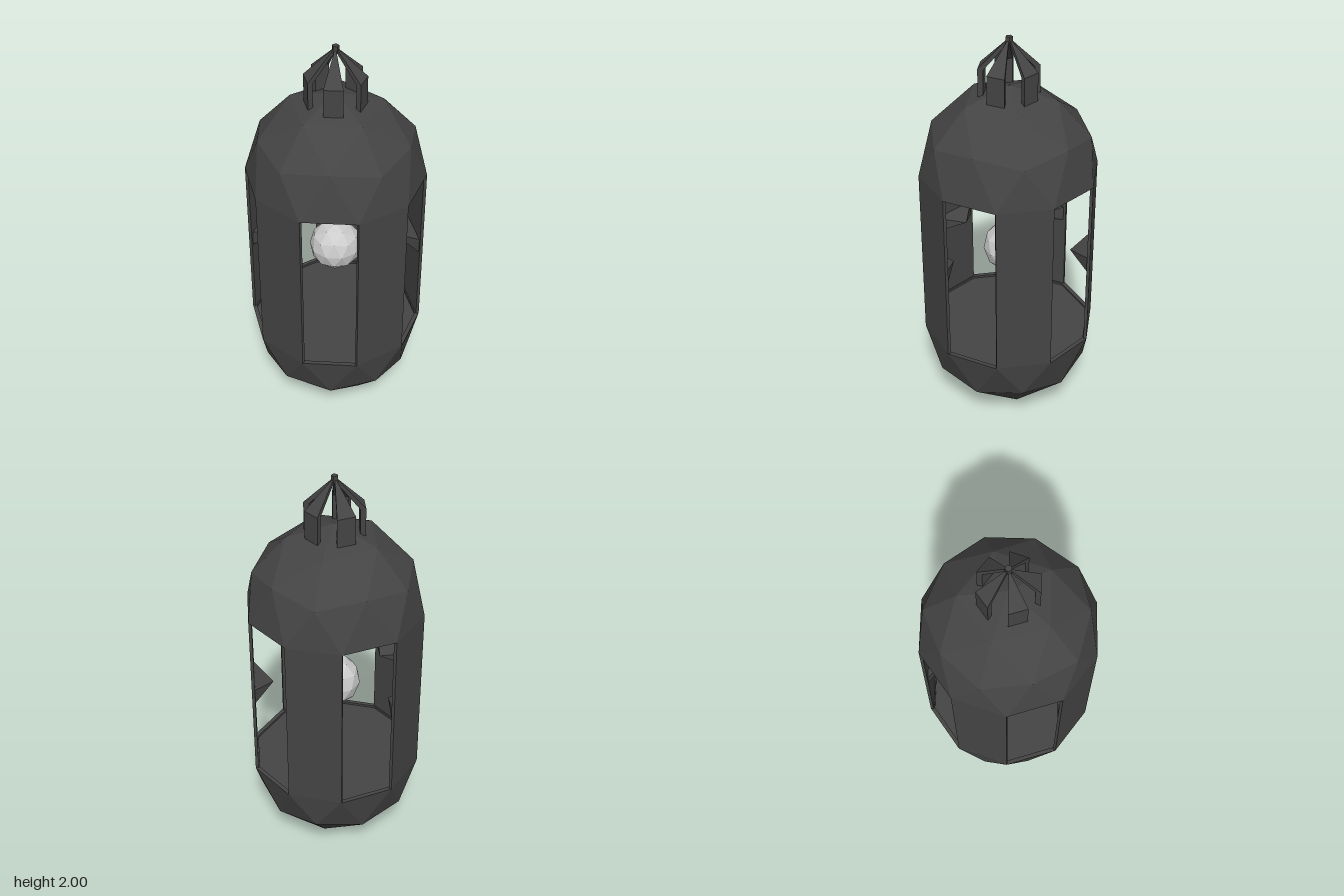
import * as THREE from 'three';

const R = 0.437, LOW = 0.44, HIGH = 1.323, MID = 0.883;
const STEP = Math.PI / 5;
const TAN = Math.tan(STEP / 2);

const dark = new THREE.MeshStandardMaterial({ color: 0x444444, flatShading: true, side: THREE.DoubleSide });
const light = new THREE.MeshStandardMaterial({ color: 0xcccccc, flatShading: true });

function part(name, geometry, material = dark) {
  const mesh = new THREE.Mesh(geometry, material);
  mesh.name = name;
  return mesh;
}

// Faceted sphere with a pole on y and a ten-sided equator
function polarSphere(radius) {
  const g = new THREE.IcosahedronGeometry(radius, 1);
  g.rotateX(-Math.atan((1 + Math.sqrt(5)) / 2));
  g.rotateY(-Math.PI / 2);
  return g;
}

// Upper half of the faceted sphere
function domeGeometry() {
  const p = polarSphere(R).getAttribute('position');
  const kept = [];
  for (let i = 0; i < p.count; i += 3) {
    if (p.getY(i) + p.getY(i + 1) + p.getY(i + 2) < 0.001) continue;
    for (let j = i; j < i + 3; j++) kept.push(p.getX(j), p.getY(j), p.getZ(j));
  }
  const g = new THREE.BufferGeometry();
  g.setAttribute('position', new THREE.Float32BufferAttribute(kept, 3));
  g.computeVertexNormals();
  return g;
}

// Dome closed by a narrow rim and a slightly recessed plate
function makeCap(name) {
  const cap = new THREE.Group();
  cap.name = name;
  const profile = [[R, 0], [0.415, 0], [0.415, 0.012], [0, 0.012]].map(([x, y]) => new THREE.Vector2(x, y));
  cap.add(part('dome', domeGeometry()), part('innerPlate', new THREE.LatheGeometry(profile, 10)));
  return cap;
}

// Upright wall panel with a spike pointing at the orb
function makePanel() {
  const panel = new THREE.Group();
  panel.name = 'wallPanel';
  const face = R * Math.cos(STEP / 2), t = 0.015;
  const wall = part('wall', new THREE.BoxGeometry(t, HIGH - LOW, 2 * face * TAN));
  wall.position.set(face - t / 2, (LOW + HIGH) / 2, 0);
  const spikeShape = new THREE.ConeGeometry(Math.SQRT2, 1, 4);
  spikeShape.rotateY(Math.PI / 4);
  spikeShape.scale(0.042, 0.1, 0.13);
  spikeShape.rotateZ(Math.PI / 2);
  const spike = part('innerSpike', spikeShape);
  spike.position.set(0.357, MID, 0);
  panel.add(wall, spike);
  return panel;
}

// Bent crown arm, narrowing towards the axis
function crownArmGeometry() {
  const outline = [[0.14, 1.71], [0.14, 1.85], [0.008, 1.985], [0.008, 1.962], [0.115, 1.842], [0.115, 1.71]];
  const shape = new THREE.Shape(outline.map(([x, y]) => new THREE.Vector2(x, y)));
  const g = new THREE.ExtrudeGeometry(shape, { depth: 2, bevelEnabled: false });
  g.translate(0, 0, -1);
  const p = g.getAttribute('position');
  for (let i = 0; i < p.count; i++) p.setZ(i, p.getZ(i) * p.getX(i) * TAN);
  g.computeVertexNormals();
  return g;
}

export function createModel() {
  const model = new THREE.Group();
  model.name = 'lantern';

  // End caps
  const top = makeCap('topCap');
  top.position.y = HIGH;
  const bottom = makeCap('bottomCap');
  bottom.rotation.x = Math.PI;
  bottom.position.y = LOW;
  model.add(top, bottom);

  // Five wall panels and five crown arms
  const armShape = crownArmGeometry();
  for (let i = 0; i < 5; i++) {
    const panel = makePanel();
    panel.rotation.y = Math.PI + i * 2 * STEP;
    const arm = part('crownArm', armShape);
    arm.rotation.y = i * 2 * STEP;
    model.add(panel, arm);
  }

  // Crown knob
  const knob = part('crownKnob', new THREE.CylinderGeometry(0.017, 0.017, 0.035, 5));
  knob.rotation.y = Math.PI / 2 + STEP;
  knob.position.y = 1.9825;
  model.add(knob);

  // Floating orb
  const orb = part('orb', polarSphere(0.129), light);
  orb.position.y = MID;
  model.add(orb);

  return model;
}
